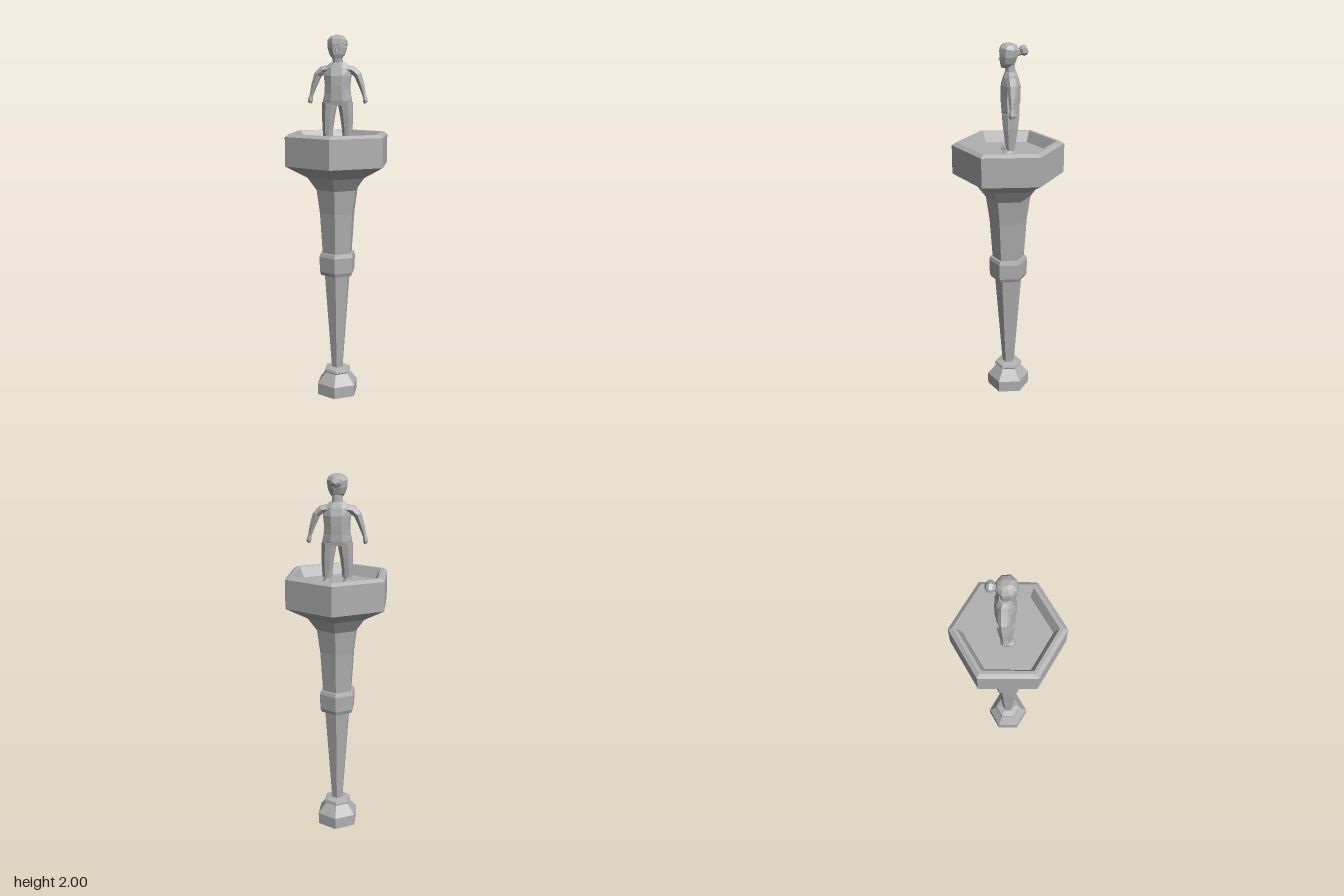
import * as THREE from 'three';

const grey = new THREE.MeshStandardMaterial({ color: 0xb0b0b0 });
grey.name = 'stone grey';

// Faceted mesh: every face keeps its own normal
function facet(name, geometry) {
  const g = geometry.index ? geometry.toNonIndexed() : geometry;
  g.computeVertexNormals();
  const mesh = new THREE.Mesh(g, grey);
  mesh.name = name;
  return mesh;
}

// Closed loft, bottom to top, through elliptical sections [x, y, z, rx, rz, tilt]
function loft(name, sections, sides = 8, side = 1) {
  const pos = [], idx = [], n = sections.length;
  for (const [x, y, z, rx, rz, tilt = 0] of sections) {
    const t = tilt * side;
    for (let i = 0; i < sides; i++) {
      const a = ((i + 0.5) / sides) * Math.PI * 2;
      const u = Math.cos(a) * rx;
      pos.push(x * side + u * Math.cos(t), y + u * Math.sin(t), z + Math.sin(a) * rz);
    }
  }
  for (let k = 0; k < n - 1; k++) {
    for (let i = 0; i < sides; i++) {
      const j = (i + 1) % sides;
      const a = k * sides + i, b = k * sides + j, c = a + sides, d = b + sides;
      idx.push(a, c, b, b, c, d);
    }
  }
  const top = (n - 1) * sides;
  for (let i = 1; i < sides - 1; i++) {
    idx.push(0, i, i + 1);
    idx.push(top, top + i + 1, top + i);
  }
  const g = new THREE.BufferGeometry();
  g.setAttribute('position', new THREE.Float32BufferAttribute(pos, 3));
  g.setIndex(idx);
  return facet(name, g);
}

// Six-sided turned part with corners on the z axis
function hexLathe(name, profile) {
  return facet(name, new THREE.LatheGeometry(profile.map(([r, y]) => new THREE.Vector2(r, y)), 6));
}

function createPedestal() {
  const g = new THREE.Group();
  g.name = 'pedestal';
  g.add(hexLathe('foot', [[0, 0], [0.12, 0], [0.12, 0.065], [0.07, 0.125], [0.08, 0.133],
    [0.075, 0.147], [0.04, 0.155], [0, 0.155]]));
  g.add(hexLathe('lowerStem', [[0.033, 0.15], [0.075, 0.7]]));
  g.add(hexLathe('collar', [[0.07, 0.695], [0.095, 0.7], [0.104, 0.72], [0.107, 0.805],
    [0.1, 0.825], [0.08, 0.827]]));
  g.add(hexLathe('upperStem', [[0.087, 0.82], [0.103, 1.05], [0.122, 1.18], [0.175, 1.25],
    [0.3, 1.315]]));
  g.add(hexLathe('basin', [[0.3, 1.315], [0.3, 1.472], [0.277, 1.487], [0.257, 1.487],
    [0.228, 1.43], [0, 1.43]]));
  return g;
}

function createFigure() {
  const g = new THREE.Group();
  g.name = 'figure';

  // Body
  g.add(loft('torso', [[0, 1.695, -0.011, 0.075, 0.053], [0, 1.74, -0.012, 0.072, 0.055],
    [0, 1.79, -0.013, 0.078, 0.054], [0, 1.83, -0.014, 0.076, 0.042],
    [0, 1.86, -0.013, 0.04, 0.03]]));
  g.add(loft('neck', [[0, 1.85, -0.012, 0.03, 0.028], [0, 1.9, -0.008, 0.027, 0.027]]));
  g.add(loft('hips', [[0, 1.635, -0.011, 0.082, 0.046], [0, 1.66, -0.011, 0.083, 0.05],
    [0, 1.702, -0.011, 0.074, 0.05]]));

  for (const s of [1, -1]) {
    const label = s > 0 ? 'left' : 'right';
    // Arm bends from the shoulder down to the fist
    g.add(loft(label + 'Arm', [[0.144, 1.685, -0.014, 0.01, 0.013, 0.2],
      [0.128, 1.74, -0.016, 0.017, 0.021, 0.3], [0.108, 1.795, -0.017, 0.022, 0.027, 0.5],
      [0.08, 1.82, -0.016, 0.025, 0.031, 1.1], [0.03, 1.825, -0.015, 0.029, 0.031, 1.45]], 6, s));
    g.add(loft(label + 'Hand', [[0.15, 1.644, -0.013, 0.009, 0.012, 0.2],
      [0.15, 1.658, -0.013, 0.014, 0.019, 0.2], [0.144, 1.69, -0.014, 0.01, 0.013, 0.2]], 6, s));
    // Leg and shoe
    g.add(loft(label + 'Leg', [[0.053, 1.465, -0.009, 0.027, 0.026], [0.053, 1.5, -0.009, 0.029, 0.03],
      [0.05, 1.57, -0.01, 0.036, 0.04], [0.042, 1.65, -0.011, 0.043, 0.048]], 8, s));
    g.add(loft(label + 'Ankle', [[0.053, 1.435, -0.012, 0.021, 0.02],
      [0.053, 1.47, -0.01, 0.021, 0.02]], 6, s));
    g.add(loft(label + 'Shoe', [[0.054, 1.43, 0, 0.025, 0.04], [0.054, 1.443, 0, 0.025, 0.038],
      [0.054, 1.456, -0.006, 0.018, 0.026]], 8, s));
  }

  // Head, nose and hair
  g.add(loft('head', [[0, 1.88, 0.012, 0.026, 0.026], [0, 1.9, 0.004, 0.042, 0.041],
    [0, 1.935, -0.002, 0.054, 0.048], [0, 1.965, -0.004, 0.053, 0.05],
    [0, 1.985, -0.005, 0.045, 0.043]]));
  const nose = facet('nose', new THREE.ConeGeometry(0.01, 0.03, 4));
  nose.position.set(0, 1.93, 0.041);
  g.add(nose);
  const hair = loft('hairCap', [[0, -0.016, 0, 0.056, 0.054], [0, 0.008, 0, 0.056, 0.053],
    [0, 0.027, -0.001, 0.04, 0.04], [0, 0.035, -0.001, 0.02, 0.02]]);
  hair.position.set(0, 1.966, -0.006);
  hair.rotation.x = -0.15;
  g.add(hair);

  // Hair bun leaning up and back
  const bun = new THREE.Group();
  bun.name = 'hairBun';
  bun.add(loft('bunBand', [[0, -0.035, 0, 0.022, 0.02], [0, 0, 0, 0.02, 0.018]], 6));
  bun.add(loft('bunKnot', [[0, -0.004, 0, 0.02, 0.018], [0, 0.01, 0, 0.031, 0.028],
    [0, 0.026, 0, 0.029, 0.026], [0, 0.036, 0, 0.016, 0.015]], 6));
  bun.position.set(0, 1.96, -0.064);
  bun.rotation.x = -1.25;
  g.add(bun);
  return g;
}

export function createModel() {
  const model = new THREE.Group();
  model.name = 'pedestalFigure';
  model.add(createPedestal(), createFigure());
  return model;
}
